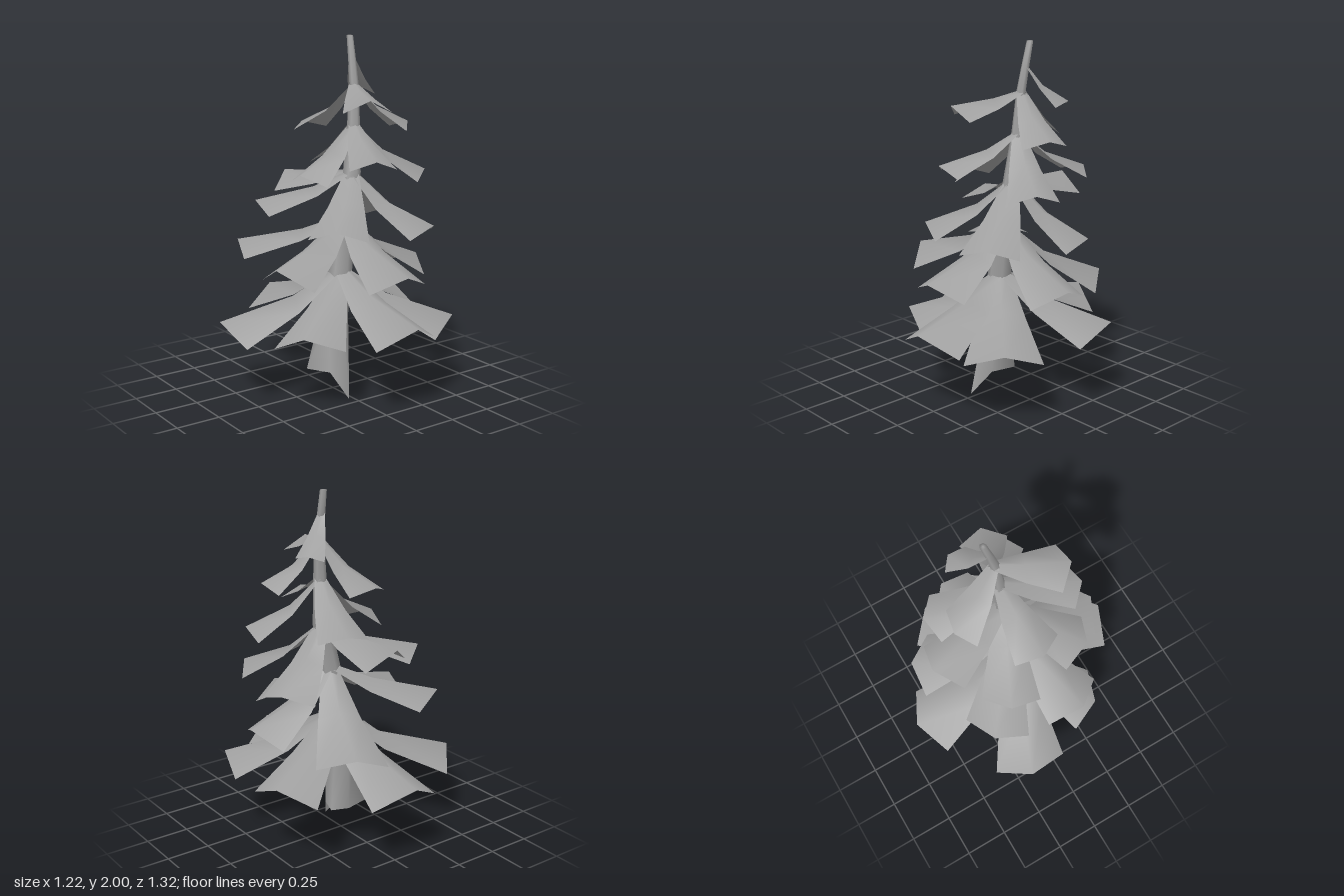
import * as THREE from 'three';

// Trunk centre line, bottom to top: y, x, z, radius
const TRUNK = [
  [0.45, -0.01, 0.025, 0.08], [0.72, 0.03, 0.03, 0.068], [1.0, 0.06, 0.025, 0.06],
  [1.25, 0.115, 0.02, 0.05], [1.52, 0.14, 0.0, 0.036], [1.73, 0.15, -0.01, 0.026],
  [1.86, 0.155, -0.035, 0.022], [2.0, 0.16, -0.065, 0.018],
];

// Foot of the trunk, with one long pointed root at the front
const FOOT = [
  [-0.03, 0, 0.2], [0.04, 0.13, 0.1], [0.09, 0.14, -0.03],
  [-0.02, 0.13, -0.05], [-0.16, 0.14, -0.03], [-0.09, 0.14, 0.1],
];

// Tiers of boughs; each bough: tip x, y, z, half width, droop of the edges, skew of the end
const TIERS = [
  { y: 0.74, boughs: [
    [-0.01, 0.48, -0.66, 0.21, 0.52, -0.1], [0.61, 0.5, -0.26, 0.205, 0.48, -0.1],
    [0.51, 0.46, 0.44, 0.21, 0.4, 0], [0.08, 0.51, 0.66, 0.21, 0.5, 0],
    [-0.61, 0.45, -0.22, 0.205, 0.5, 0.12], [-0.42, 0.46, 0.33, 0.185, 0.45, 0.25]] },
  { y: 1.02, boughs: [
    [-0.49, 0.81, 0.18, 0.19, 0.55, 0], [-0.41, 0.87, -0.35, 0.18, 0.4, -0.12],
    [0.28, 0.67, -0.52, 0.19, 0.4, -0.15], [0.57, 0.73, 0.04, 0.19, 0.42, 0],
    [0.07, 0.77, 0.58, 0.19, 0.42, 0]] },
  { y: 1.27, boughs: [
    [-0.37, 1.11, -0.22, 0.16, 0.4, -0.08], [0.51, 0.97, -0.17, 0.16, 0.33, 0],
    [0, 1.21, -0.49, 0.165, 0.6, 0], [-0.23, 1.01, 0.35, 0.165, 0.38, 0],
    [0.36, 0.99, 0.44, 0.165, 0.35, 0]] },
  { y: 1.53, boughs: [
    [-0.25, 1.27, 0.05, 0.145, 0.36, 0], [-0.02, 1.37, 0.42, 0.13, 0.4, 0],
    [0.49, 1.26, 0.2, 0.14, 0.38, 0], [0.25, 1.3, -0.4, 0.14, 0.3, 0]] },
  { y: 1.745, boughs: [
    [-0.005, 1.68, 0.345, 0.135, 0.52, 0], [0.46, 1.52, 0.08, 0.13, 0.32, 0],
    [0.015, 1.51, -0.33, 0.125, 0.3, -0.25]] },
  { y: 1.88, boughs: [[0.34, 1.69, -0.175, 0.085, 0.3, -0.2]] },
];

// Bough profile: distance along, share of the fall, share of the half width
const PROFILE = [[0, 0, 0.22], [0.4, 0.58, 0.62], [1, 1, 1]];

const material = new THREE.MeshStandardMaterial({ color: 0xa0a0a0, side: THREE.DoubleSide });

// Skins rows of points; every row has the same number of points
function loft(rows, name, closed) {
  const n = rows[0].length, index = [];
  for (let i = 0; i < rows.length - 1; i++) {
    for (let j = 0; j < (closed ? n : n - 1); j++) {
      const k = (j + 1) % n;
      const a = i * n + j, b = i * n + k, c = a + n, d = b + n;
      index.push(a, b, d, a, d, c);
    }
  }
  const geometry = new THREE.BufferGeometry();
  geometry.setAttribute('position', new THREE.Float32BufferAttribute(rows.flat(2), 3));
  geometry.setIndex(index);
  geometry.computeVertexNormals();
  const mesh = new THREE.Mesh(geometry, material);
  mesh.name = name;
  return mesh;
}

function trunkCentre(y) {
  const i = Math.max(1, TRUNK.findIndex((p) => p[0] >= y));
  const [a, b] = [TRUNK[i - 1], TRUNK[i]];
  const t = (y - a[0]) / (b[0] - a[0]);
  return [a[1] + (b[1] - a[1]) * t, a[2] + (b[2] - a[2]) * t];
}

function makeTrunk() {
  const rings = TRUNK.map(([y, x, z, r]) => FOOT.map((_, k) => {
    const angle = (k / FOOT.length) * Math.PI * 2;
    return [x + r * Math.sin(angle), y, z + r * Math.cos(angle)];
  }));
  const [y, x, z] = TRUNK[TRUNK.length - 1];
  const tip = FOOT.map(() => [x, y, z]);
  return loft([FOOT, ...rings, tip], 'trunk', true);
}

// A sheet folded along its ridge, spreading outward to a pointed end
function makeBough(y0, [tx, ty, tz, halfWidth, droop, skew]) {
  const [cx, cz] = trunkCentre(y0);
  const reach = Math.hypot(tx - cx, tz - cz);
  const dx = (tx - cx) / reach, dz = (tz - cz) / reach;
  const rows = PROFILE.map(([along, fall, spread]) => {
    const w = halfWidth * spread;
    const y = y0 + (ty - y0) * fall;
    return [-1, 0, 1].map((side) => {
      const edge = Math.abs(side);
      const r = reach * along + (side * skew - edge * 0.45) * w * along ** 2;
      return [cx + dx * r - dz * w * side, y - edge * w * droop, cz + dz * r + dx * w * side];
    });
  });
  return loft(rows, 'bough', false);
}

export function createModel() {
  const tree = new THREE.Group();
  tree.name = 'pineTree';
  tree.add(makeTrunk());
  TIERS.forEach(({ y, boughs }, i) => {
    const tier = new THREE.Group();
    tier.name = `boughTier${i + 1}`;
    boughs.forEach((bough) => tier.add(makeBough(y, bough)));
    tree.add(tier);
  });
  return tree;
}
